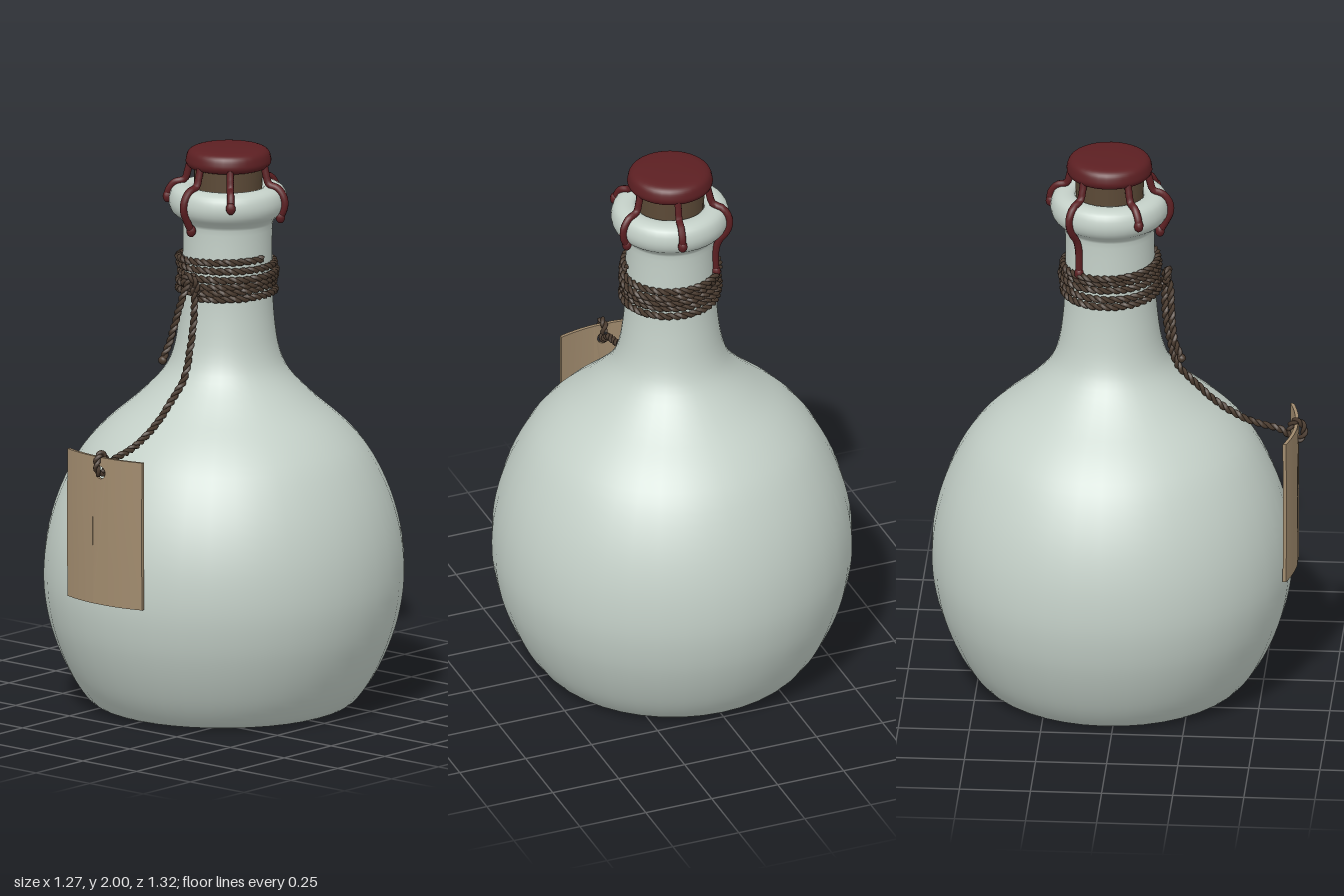
import * as THREE from 'three';
import { mergeGeometries } from 'three/addons/utils/BufferGeometryUtils.js';

const mat = (name, color) => {
  const m = new THREE.MeshStandardMaterial({ color });
  m.name = name;
  return m;
};
const v3 = (x, y, z) => new THREE.Vector3(x, y, z);

// The bottle leans very slightly: centre of its axis at height y
const axisX = y => 0.008 * y;
const axisZ = y => -0.03 - 0.007 * y;

// Move every vertex of a geometry by a rule
function reshape(geo, rule) {
  const p = geo.attributes.position, v = new THREE.Vector3();
  for (let i = 0; i < p.count; i++) {
    v.fromBufferAttribute(p, i);
    rule(v);
    p.setXYZ(i, v.x, v.y, v.z);
  }
  return geo;
}
const lean = geo => reshape(geo, v => { v.x += axisX(v.y); v.z += axisZ(v.y); });

// Turned shape through a few [radius, height] points
function turned(points, steps, segments) {
  const spline = new THREE.SplineCurve(points.map(p => new THREE.Vector2(...p)));
  const profile = spline.getPoints(steps);
  profile.forEach(p => { p.x = Math.max(p.x, 0); });
  return lean(new THREE.LatheGeometry(profile, segments));
}

// Two strands twisted round a path
function rope(curve, pitch = 0.055, offset = 0.006, radius = 0.008) {
  const n = Math.ceil(curve.getLength() / pitch * 9);
  curve.arcLengthDivisions = n * 2;
  curve.updateArcLengths();
  const frames = curve.computeFrenetFrames(n, false);
  const strands = [0, Math.PI].map(phase => {
    const pts = [];
    for (let i = 0; i <= n; i++) {
      const a = phase + i / 9 * Math.PI * 2;
      pts.push(curve.getPointAt(i / n)
        .addScaledVector(frames.normals[i], Math.cos(a) * offset)
        .addScaledVector(frames.binormals[i], Math.sin(a) * offset));
    }
    const strand = new THREE.CatmullRomCurve3(pts);
    strand.arcLengthDivisions = n * 3;
    return new THREE.TubeGeometry(strand, n, radius, 5);
  });
  return mergeGeometries(strands);
}

export function createModel() {
  const model = new THREE.Group();
  model.name = 'corkedBottle';
  const ceramic = mat('paleCeramic', 0xc4d0c8);
  const cork = mat('corkBrown', 0x5c4a37);
  const wax = mat('darkRedWax', 0x5c1f22);
  const twine = mat('darkTwine', 0x4a3b2f);
  const paper = mat('tanPaper', 0xa18b6e);

  const add = (name, geo, material, parent = model) => {
    const mesh = new THREE.Mesh(geo, material);
    mesh.name = name;
    parent.add(mesh);
    return mesh;
  };

  // Bottle: hollowed underside, round belly, neck and rolled lip
  add('bottle', turned([
    [0, 0.09], [0.2, 0.07], [0.34, 0.025], [0.41, 0.002], [0.455, 0.01], [0.495, 0.05],
    [0.54, 0.12], [0.585, 0.22], [0.618, 0.33], [0.634, 0.46], [0.622, 0.61], [0.58, 0.76],
    [0.51, 0.9], [0.425, 1.0], [0.31, 1.1], [0.225, 1.19], [0.187, 1.27], [0.168, 1.38],
    [0.16, 1.5], [0.157, 1.7], [0.166, 1.74], [0.197, 1.768], [0.208, 1.805],
    [0.197, 1.845], [0.165, 1.862], [0.125, 1.855], [0.115, 1.82],
  ], 90, 40), ceramic);

  // Cork stopper
  const corkGeo = new THREE.CylinderGeometry(0.122, 0.118, 0.13, 28);
  add('cork', lean(corkGeo.translate(0, 1.875, 0)), cork);

  // Wax seal over the cork
  const seal = new THREE.Group();
  seal.name = 'waxSeal';
  model.add(seal);
  add('waxCap', turned([
    [0, 1.922], [0.08, 1.922], [0.132, 1.925], [0.149, 1.94], [0.149, 1.96],
    [0.14, 1.982], [0.115, 1.994], [0.06, 1.999], [0, 2.0],
  ], 32, 32), wax, seal);

  // Wax drips: [x, z] direction from the axis and height of the end
  const drips = [
    [-0.02, 0.225, 1.72], [0.143, 0.15, 1.82], [0.2, -0.065, 1.76],
    [0.04, -0.215, 1.8], [-0.17, -0.13, 1.6], [-0.19, 0.12, 1.81],
  ];
  const run = [
    [0.135, 1.945], [0.143, 1.91], [0.155, 1.875], [0.19, 1.862], [0.213, 1.83],
    [0.215, 1.795], [0.2, 1.76], [0.178, 1.73], [0.166, 1.69], [0.165, 1.6],
  ];
  drips.forEach(([x, z, end]) => {
    const a = Math.atan2(x, z);
    const at = (r, y) => v3(Math.sin(a) * r + axisX(y), y, Math.cos(a) * r + axisZ(y));
    const pts = run.filter(p => p[1] > end + 0.015).map(p => at(...p));
    const next = run.find(p => p[1] <= end + 0.015);
    pts.push(at(next[0], end));
    add('waxDrip', new THREE.TubeGeometry(new THREE.CatmullRomCurve3(pts), 22, 0.013, 8), wax, seal);
    const tip = add('waxDripTip', new THREE.SphereGeometry(0.017, 10, 8), wax, seal);
    tip.position.copy(pts[pts.length - 1]);
    tip.scale.y = 1.3;
  });

  // Twine wound round the neck
  const binding = new THREE.Group();
  binding.name = 'twineBinding';
  model.add(binding);
  const turns = 5.25, wound = [];
  for (let i = 0; i <= turns * 24; i++) {
    const t = i / 24, a = t * Math.PI * 2;
    const y = 1.475 + 0.026 * t + 0.006 * Math.sin(a * 0.8 + 1);
    const r = 0.168 + 0.004 * Math.sin(a * 1.3);
    wound.push(v3(Math.sin(a) * r + axisX(y), y, Math.cos(a) * r + axisZ(y)));
  }
  add('neckWinding', rope(new THREE.CatmullRomCurve3(wound)), twine, binding);

  // Knot, short loose end and long cord down to the tag
  const path = pts => new THREE.CatmullRomCurve3(pts.map(p => v3(...p)));
  add('knot', rope(path([
    [0.03, 1.5, 0.14], [0.035, 1.55, 0.16], [0.005, 1.565, 0.165], [-0.015, 1.54, 0.16], [0.02, 1.515, 0.155],
  ])), twine, binding);
  add('looseEnd', rope(path([
    [0.015, 1.565, 0.155], [-0.005, 1.5, 0.172], [-0.035, 1.4, 0.18], [-0.055, 1.32, 0.19], [-0.065, 1.26, 0.215],
  ])), twine, binding);
  const frayed = add('looseEndTip', new THREE.SphereGeometry(0.016, 8, 6), twine, binding);
  frayed.position.set(-0.065, 1.26, 0.215);
  add('tagCord', rope(path([
    [0.015, 1.57, 0.15], [0.027, 1.5, 0.152], [0.024, 1.42, 0.15], [0.02, 1.31, 0.165],
    [0.016, 1.2, 0.195], [0.013, 1.13, 0.26], [0.01, 1.065, 0.33], [0.005, 1.0, 0.44],
    [0, 0.962, 0.57], [0, 0.935, 0.6], [0, 0.93, 0.625], [0, 0.96, 0.642],
    [0, 0.998, 0.628], [0, 0.998, 0.605], [0.005, 0.965, 0.59],
  ])), twine, binding);

  // Curved paper tag with a punched hole: a middle strip and two side panels
  const thick = 0.012, top = 0.99, bottom = 0.46, half = 0.035;
  const strip = new THREE.Shape([
    new THREE.Vector2(-half, bottom), new THREE.Vector2(half, bottom),
    new THREE.Vector2(half, top), new THREE.Vector2(-half, top),
  ]);
  strip.holes.push(new THREE.Path().absarc(0, 0.935, 0.022, 0, Math.PI * 2, true));
  const bend = geo => {
    reshape(geo, v => { v.z += 0.617 - 0.95 * v.x * v.x - 0.02 * (v.y - 0.72) ** 2; });
    geo.computeVertexNormals();
    return geo;
  };
  const tag = new THREE.Group();
  tag.name = 'paperTag';
  model.add(tag);
  add('tagMiddle', bend(new THREE.ExtrudeGeometry(strip, {
    depth: thick, bevelEnabled: false, curveSegments: 16,
  }).translate(0, 0, -thick / 2)), paper, tag);
  [[-0.18, -half], [half, 0.17]].forEach(([x0, x1]) => {
    const panel = new THREE.BoxGeometry(x1 - x0, top - bottom, thick, 6, 4, 1);
    add('tagSide', bend(panel.translate((x0 + x1) / 2, (top + bottom) / 2, 0)), paper, tag);
  });

  return model;
}
